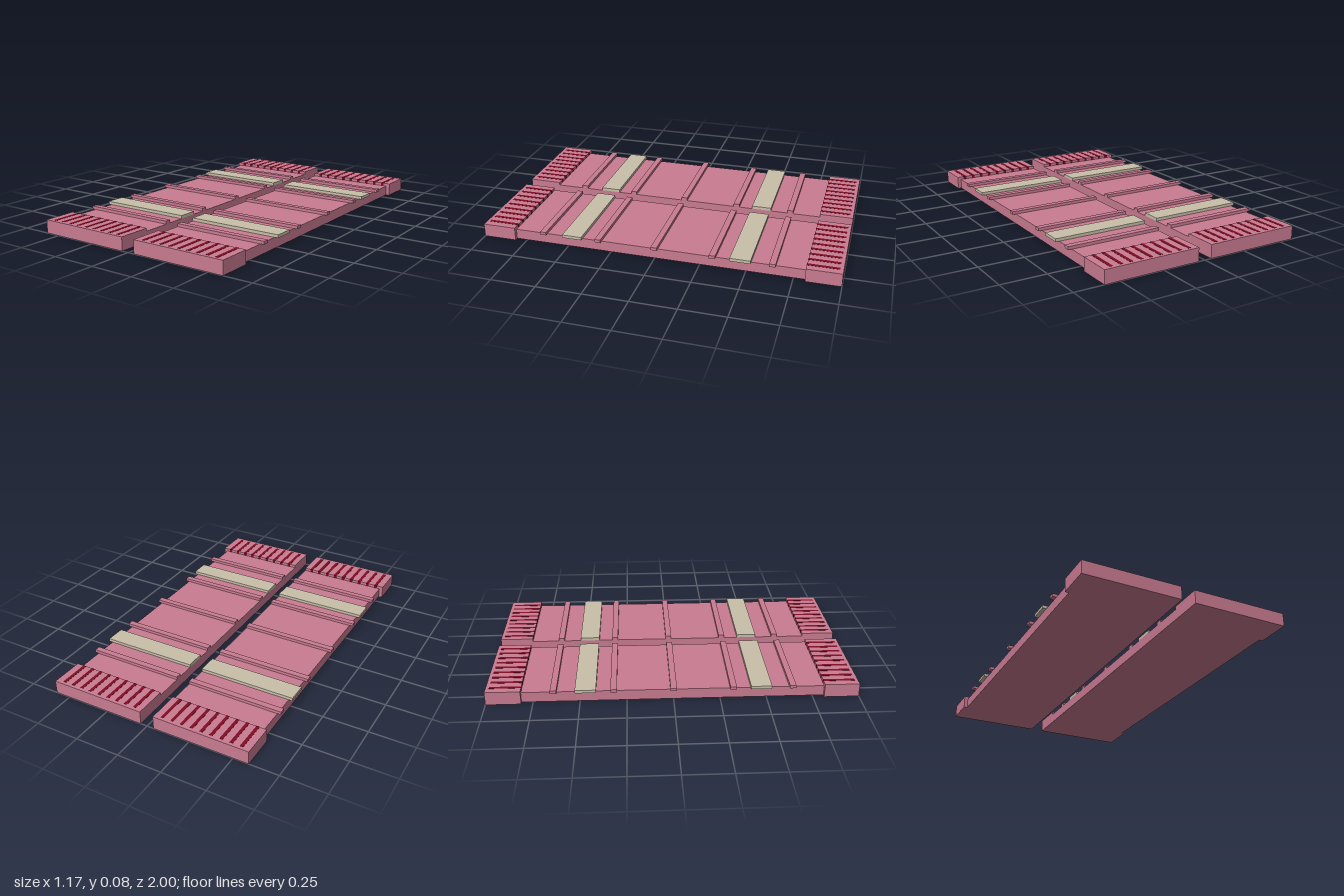
import * as THREE from 'three';

const INNER = 0.039, SLAB_OUTER = 0.565, OUTER = 0.586;
const SLAB_TOP = 0.058, TOP = 0.075;

export function createModel() {
  const mat = (name, color) => Object.assign(new THREE.MeshStandardMaterial({ color }), { name });
  const pink = mat('pink', 0xc97b91);
  const beige = mat('beige', 0xc8bfa9);
  const darkRed = mat('darkRed', 0x800b22);

  // Box given by its extents on each axis
  function box(parent, name, material, [x0, x1], [y0, y1], [z0, z1]) {
    const mesh = new THREE.Mesh(new THREE.BoxGeometry(x1 - x0, y1 - y0, z1 - z0), material);
    mesh.position.set((x0 + x1) / 2, (y0 + y1) / 2, (z0 + z1) / 2);
    mesh.name = name;
    parent.add(mesh);
  }

  // Orders a pair of distances after mirroring them to one side
  const span = (side, near, far) => (side > 0 ? [near, far] : [-far, -near]);

  const model = new THREE.Group();
  model.name = 'twinPanels';

  for (const sx of [-1, 1]) {
    const panel = new THREE.Group();
    panel.name = sx > 0 ? 'leftPanel' : 'rightPanel';
    model.add(panel);
    const wide = span(sx, INNER, OUTER);

    // Main slab between the end blocks
    box(panel, 'slab', pink, span(sx, INNER, SLAB_OUTER), [0, SLAB_TOP], [-0.812, 0.812]);

    // Narrow cross ribs, overhanging the outer edge
    for (const z of [-0.64, -0.32, 0, 0.32, 0.64]) {
      box(panel, 'crossRib', pink, wide, [SLAB_TOP, TOP], [z - 0.017, z + 0.017]);
    }

    for (const sz of [-1, 1]) {
      // Broad cross band
      box(panel, 'crossBand', beige, wide, [SLAB_TOP, TOP], span(sz, 0.414, 0.526));

      // Raised end block with a row of dark slots open to the middle
      box(panel, 'endBlock', pink, wide, [0, TOP], span(sz, 0.812, 1));
      for (let i = 0; i < 9; i++) {
        const x = sx * (0.085 + i * 0.0565);
        box(panel, 'slot', darkRed, [x - 0.009, x + 0.009],
          [SLAB_TOP, TOP + 0.001], span(sz, 0.811, 0.982));
      }
    }
  }
  return model;
}
